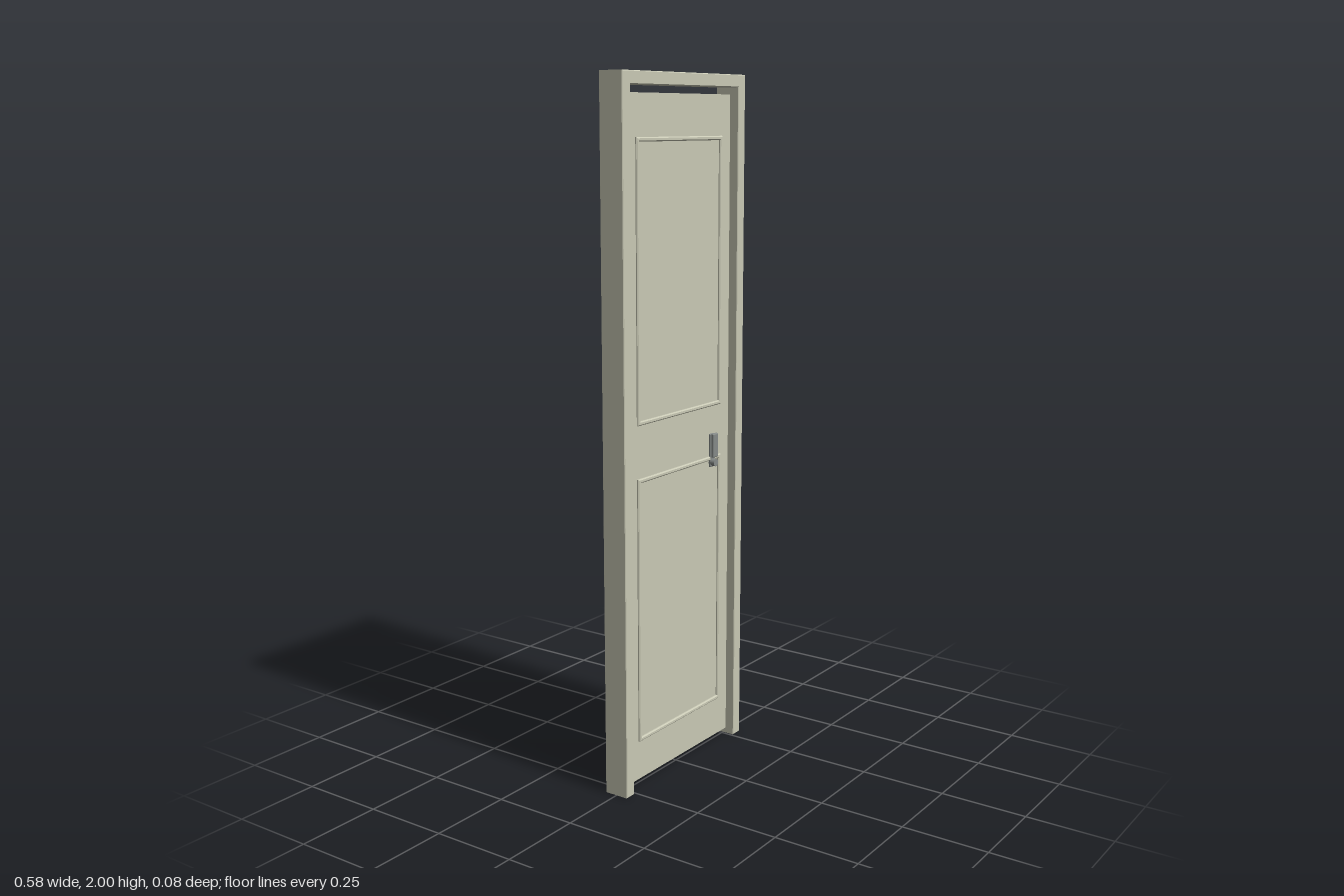
import * as THREE from 'three';
import { RoundedBoxGeometry } from 'three/addons/geometries/RoundedBoxGeometry.js';

const paint = new THREE.MeshStandardMaterial({ color: 0xc8c8b4 });
const metal = new THREE.MeshStandardMaterial({ color: 0x858a88 });

function polygon(points, Type = THREE.Shape) {
  return new Type(points.map(([x, y]) => new THREE.Vector2(x, y)));
}

function rectangle(x, y0, y1) {
  return [[-x, y0], [x, y0], [x, y1], [-x, y1]];
}

function addMesh(parent, name, geometry, material, x = 0, y = 0, z = 0) {
  const mesh = new THREE.Mesh(geometry, material);
  mesh.name = name;
  mesh.position.set(x, y, z);
  parent.add(mesh);
  return mesh;
}

// Extrusion between two depths with a small chamfer kept inside the outline
function extrude(shape, z0, z1, bevel) {
  const geometry = new THREE.ExtrudeGeometry(shape, {
    depth: z1 - z0 - 2 * bevel,
    bevelEnabled: true,
    bevelThickness: bevel,
    bevelSize: bevel,
    bevelOffset: -bevel,
    bevelSegments: 1,
  });
  return geometry.translate(0, 0, z0 + bevel);
}

export function createModel() {
  const door = new THREE.Group();
  door.name = 'door';

  // Door frame: two jambs and a head, open at the bottom
  const frame = polygon([
    [-0.292, 0], [-0.257, 0], [-0.257, 1.965], [0.257, 1.965],
    [0.257, 0], [0.292, 0], [0.292, 2], [-0.292, 2],
  ]);
  addMesh(door, 'doorFrame', extrude(frame, -0.038, 0.038, 0.002), paint);

  // Leaf, with a narrow gap all round
  const leaf = new THREE.Group();
  leaf.name = 'doorLeaf';
  door.add(leaf);
  const front = 0.014;
  addMesh(leaf, 'leafSlab', new THREE.BoxGeometry(0.5, 1.925, 2 * front), paint, 0, 0.9825, 0);

  // Raised mouldings around the upper and lower panels
  const width = 0.012;
  for (const [name, y0, y1] of [['upperMoulding', 1.055, 1.83], ['lowerMoulding', 0.135, 0.905]]) {
    const shape = polygon(rectangle(0.205, y0, y1));
    shape.holes.push(polygon(rectangle(0.205 - width, y0 + width, y1 - width), THREE.Path));
    addMesh(leaf, name, extrude(shape, front - 0.004, front + 0.006, 0.003), paint);
  }

  // Handle: a neck at the bottom carrying an upright grip
  const handle = new THREE.Group();
  handle.name = 'handle';
  handle.position.set(0.159, 0, front);
  leaf.add(handle);
  addMesh(handle, 'handlePlate', new RoundedBoxGeometry(0.022, 0.1, 0.008, 2, 0.003), metal, 0, 0.923, 0.003);
  addMesh(handle, 'handleGrip', new RoundedBoxGeometry(0.026, 0.072, 0.01, 2, 0.004), metal, 0, 0.939, 0.014);
  const neck = new THREE.CylinderGeometry(0.011, 0.011, 0.02, 16).rotateX(Math.PI / 2);
  addMesh(handle, 'handleNeck', neck, metal, 0, 0.887, 0.009);

  return door;
}
